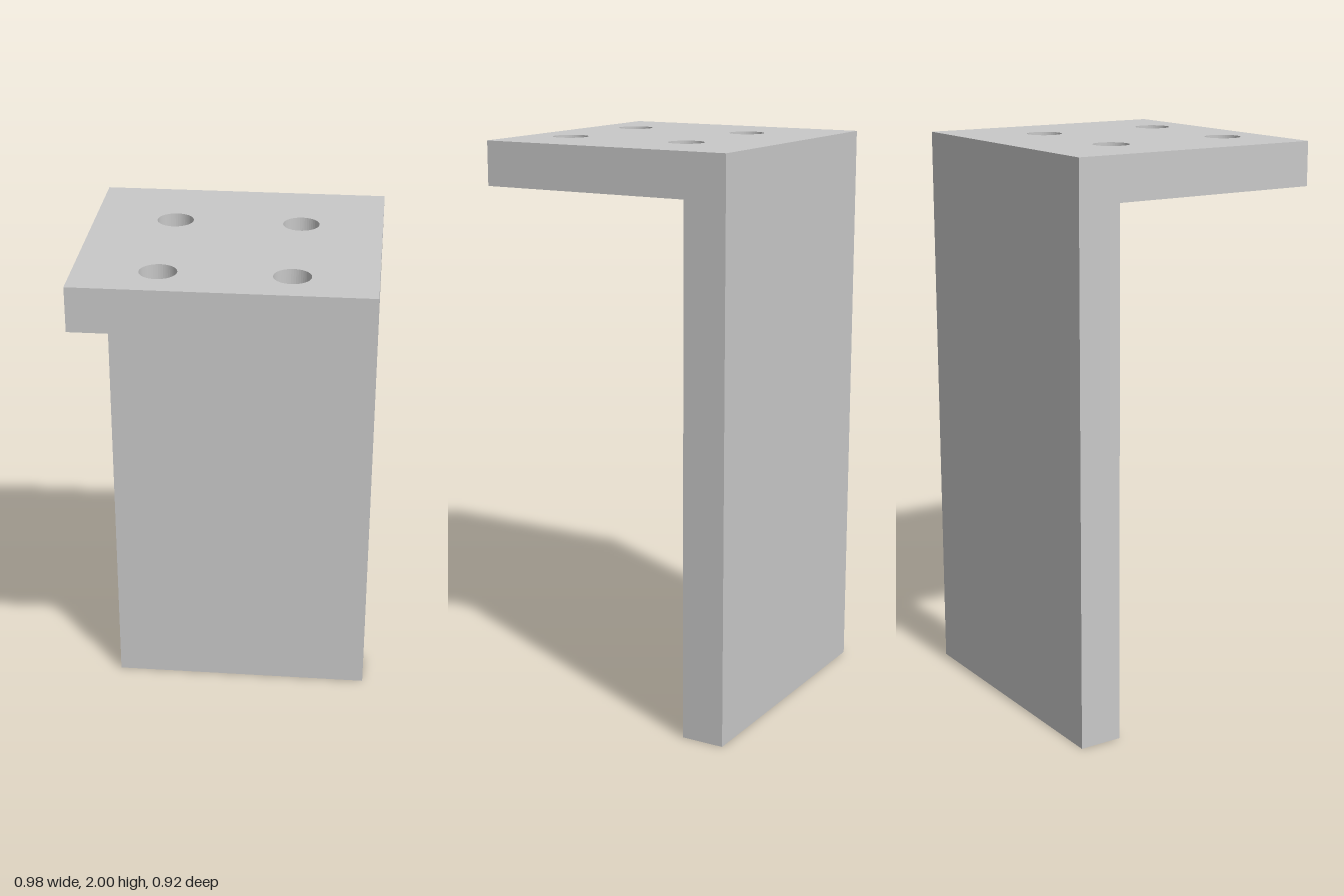
import * as THREE from 'three';

const WIDTH = 0.984, DEPTH = 0.916, HEIGHT = 2, THICK = 0.153;
const HOLE_RADIUS = 0.062, HOLE_X = 0.215, HOLE_Z = [-0.157, 0.304];

export function createModel() {
  const group = new THREE.Group();
  group.name = 'angleBracket';
  const steel = new THREE.MeshStandardMaterial({ color: 0xc8c8c8 });
  steel.name = 'light steel grey';

  // Top plate: rectangle with four bolt holes, drawn in plan with shape y = -z
  const w = WIDTH / 2, d = DEPTH / 2;
  const plan = new THREE.Shape();
  plan.moveTo(-w, -d).lineTo(w, -d).lineTo(w, d).lineTo(-w, d).closePath();
  for (const z of HOLE_Z) {
    for (const side of [-1, 1]) {
      const hole = new THREE.Path();
      hole.absarc(side * HOLE_X, -z, HOLE_RADIUS, 0, Math.PI * 2, true);
      plan.holes.push(hole);
    }
  }
  const plateGeometry = new THREE.ExtrudeGeometry(plan, {
    depth: THICK, bevelEnabled: false, curveSegments: 24,
  });
  plateGeometry.rotateX(-Math.PI / 2);
  const plate = new THREE.Mesh(plateGeometry, steel);
  plate.name = 'topPlate';
  plate.position.y = HEIGHT - THICK;
  group.add(plate);

  // Upright plate along the back edge
  const uprightHeight = HEIGHT - THICK;
  const upright = new THREE.Mesh(new THREE.BoxGeometry(WIDTH, uprightHeight, THICK), steel);
  upright.name = 'uprightPlate';
  upright.position.set(0, uprightHeight / 2, -d + THICK / 2);
  group.add(upright);

  return group;
}
